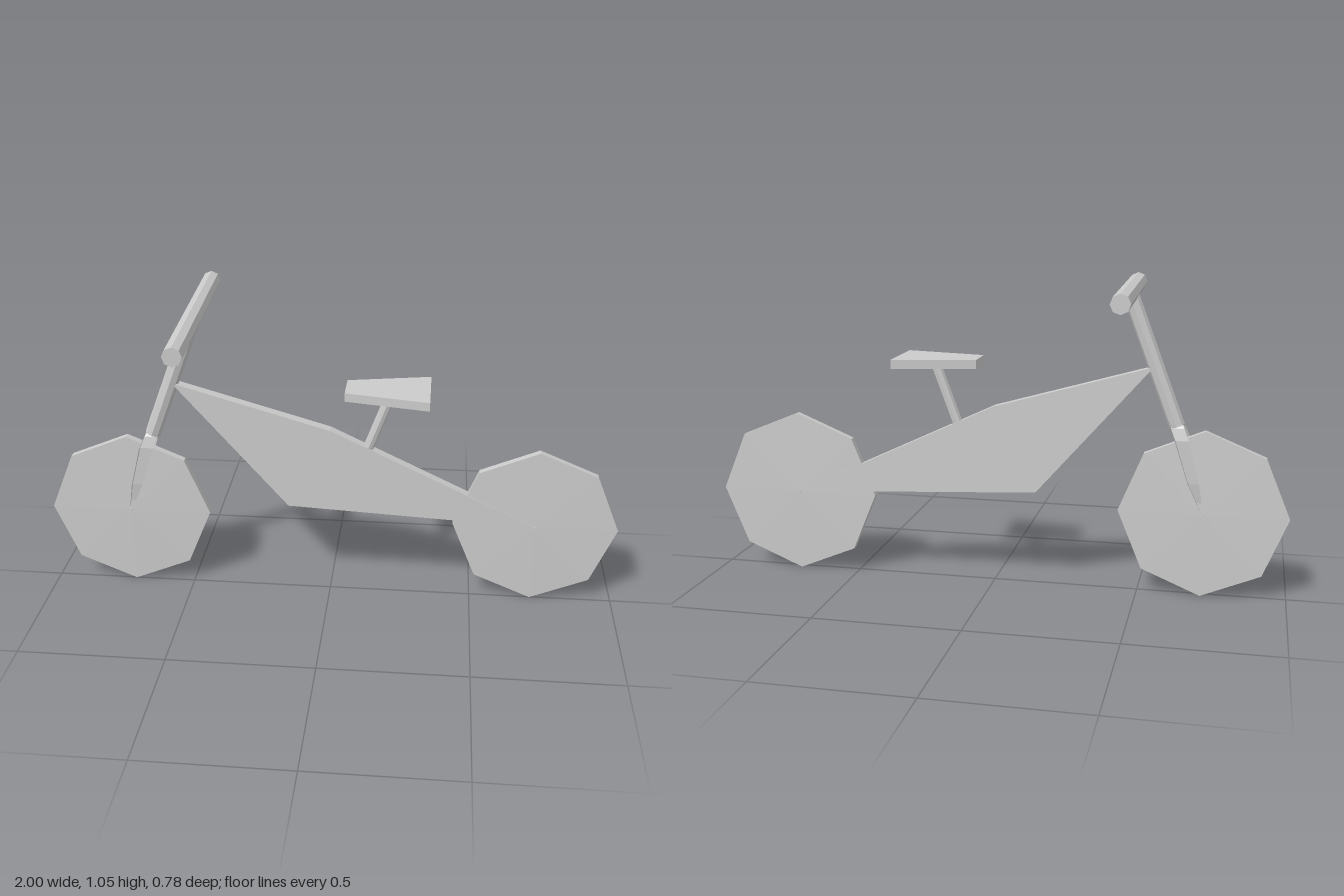
import * as THREE from 'three';

const Z = -0.011; // centre plane of the frame and wheels
const mat = new THREE.MeshStandardMaterial({ color: 0xcccccc, flatShading: true });

function add(group, name, geometry) {
  const mesh = new THREE.Mesh(geometry, mat);
  mesh.name = name;
  group.add(mesh);
  return mesh;
}

// Straight octagonal tube between two points
function rod(group, name, a, b, r) {
  const p = new THREE.Vector3(...a), q = new THREE.Vector3(...b);
  const dir = q.clone().sub(p);
  const mesh = add(group, name, new THREE.CylinderGeometry(r, r, dir.length(), 8));
  mesh.position.copy(p).add(q).multiplyScalar(0.5);
  mesh.quaternion.setFromUnitVectors(new THREE.Vector3(0, 1, 0), dir.normalize());
  return mesh;
}

// Flat plate of the given outline, centred on its own depth
function plate(points, depth) {
  const shape = new THREE.Shape(points.map(p => new THREE.Vector2(...p)));
  return new THREE.ExtrudeGeometry(shape, { depth, bevelEnabled: false }).translate(0, 0, -depth / 2);
}

// Fork blade lofted from rectangular sections [x, y, half width, inner z, outer z]
function forkBlade(side) {
  const sections = [
    [-0.615, 0.605, 0.02, 0.0, 0.022],
    [-0.624, 0.58, 0.022, 0.021, 0.037],
    [-0.640, 0.54, 0.022, 0.030, 0.048],
    [-0.682, 0.395, 0.018, 0.026, 0.040],
    [-0.715, 0.29, 0.003, 0.012, 0.020],
  ];
  const pos = [], index = [];
  for (const [x, y, w, zi, zo] of sections)
    for (const [dx, z] of [[-w, zi], [w, zi], [w, zo], [-w, zo]]) pos.push(x + dx, y, z * side);
  const quad = (a, b, c, d) =>
    side > 0 ? index.push(a, b, c, a, c, d) : index.push(a, c, b, a, d, c);
  const last = (sections.length - 1) * 4;
  for (let i = 0; i < last; i += 4)
    for (let j = 0; j < 4; j++) {
      const k = (j + 1) % 4;
      quad(i + j, i + k, i + 4 + k, i + 4 + j);
    }
  quad(3, 2, 1, 0);
  quad(last, last + 1, last + 2, last + 3);
  const g = new THREE.BufferGeometry();
  g.setAttribute('position', new THREE.Float32BufferAttribute(pos, 3));
  g.setIndex(index);
  // Orient the faces outward
  for (let i = 0; i < index.length; i += 3) [index[i + 1], index[i + 2]] = [index[i + 2], index[i + 1]];
  g.setIndex(index);
  g.computeVertexNormals();
  return g;
}

export function createModel() {
  const bike = new THREE.Group();
  bike.name = 'bicycle';

  // Solid octagonal wheels, slightly thicker at the hub, with a small axle
  const wheelProfile = [[0, -0.018], [0.285, -0.013], [0.285, 0.013], [0, 0.018]]
    .map(p => new THREE.Vector2(...p));
  for (const [name, x] of [['frontWheel', -0.715], ['rearWheel', 0.715]]) {
    const wheel = new THREE.Group();
    wheel.name = name;
    add(wheel, 'disc', new THREE.LatheGeometry(wheelProfile, 8).rotateX(Math.PI / 2));
    add(wheel, 'axle', new THREE.CylinderGeometry(0.006, 0.006, 0.042, 8).rotateX(Math.PI / 2));
    wheel.position.set(x, 0.287, Z);
    bike.add(wheel);
  }

  // Frame plate
  add(bike, 'frame', plate(
    [[-0.54, 0.782], [-0.147, 0.333], [0.712, 0.29], [0, 0.628]], 0.038)).position.z = Z;

  // Steering column, handlebar turned slightly, and fork
  rod(bike, 'steeringColumn', [-0.62, 0.585, Z], [-0.457, 1.015, Z], 0.027);
  rod(bike, 'handlebar', [-0.465, 1.025, -0.39], [-0.442, 1.025, 0.39], 0.032);
  for (const [name, side] of [['leftForkBlade', 1], ['rightForkBlade', -1]])
    add(bike, name, forkBlade(side)).position.z = Z;

  // Seat post and tapered seat
  rod(bike, 'seatPost', [0.125, 0.55, Z], [0.207, 0.77, Z], 0.018);
  const seat = add(bike, 'seat', plate(
    [[0.053, -0.058], [0.336, -0.115], [0.336, 0.115], [0.053, 0.058]], 0.03));
  seat.rotation.x = -Math.PI / 2;
  seat.position.y = 0.775;
  return bike;
}
